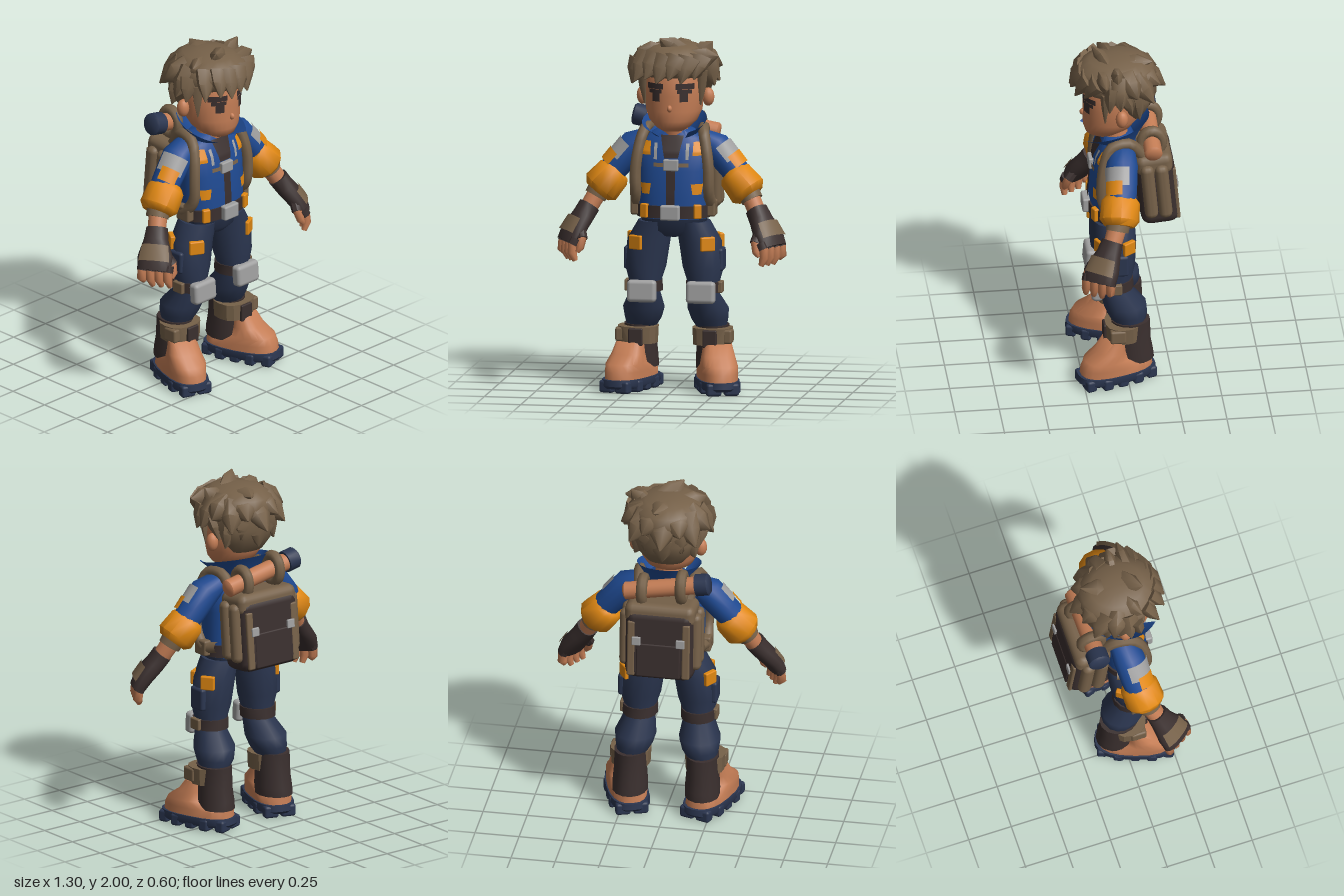
import * as THREE from 'three';
import { toCreasedNormals, mergeVertices } from 'three/addons/utils/BufferGeometryUtils.js';
import { RoundedBoxGeometry } from 'three/addons/geometries/RoundedBoxGeometry.js';
import { ParametricGeometry } from 'three/addons/geometries/ParametricGeometry.js';

const mat = (name, color, side = THREE.FrontSide) => Object.assign(new THREE.MeshStandardMaterial({ color, side }), { name });
const M = {
  skin: mat('tan skin and leather', 0xc47d55), brown: mat('brown', 0x766149),
  blue: mat('jacket blue', 0x1f4a92, THREE.DoubleSide), navy: mat('navy', 0x2b3650),
  orange: mat('orange', 0xe08812), dark: mat('charcoal', 0x3a2f2e), silver: mat('silver', 0xa0a0a0),
};
const V = (x, y, z) => new THREE.Vector3(x, y, z);
const TAU = Math.PI * 2;

function add(group, name, geo, m) {
  const mesh = new THREE.Mesh(geo, m);
  mesh.name = name;
  group.add(mesh);
  return mesh;
}

// Skin elliptical sections [x, y, z, a, b]; level keeps them horizontal, arc leaves an open strip, ref turns the b axis.
function sweep(st, { seg = 14, level = false, p = 1, arc = null, crease = 0.75, ref = null } = {}) {
  const c = st.map(s => V(s[0], s[1], s[2])), pos = [], idx = [], n = st.length;
  const whole = c[n - 1].clone().sub(c[0]).normalize();
  const side = ref || (!level && Math.abs(whole.z) > 0.8 ? V(0, 1, 0) : V(0, 0, 1));
  const cols = arc ? seg + 1 : seg, [a0, a1] = arc || [0, TAU];
  const pw = v => Math.sign(v) * Math.abs(v) ** p;
  st.forEach((s, i) => {
    const d = level ? V(0, Math.sign(whole.y), 0) : c[Math.min(i + 1, n - 1)].clone().sub(c[Math.max(i - 1, 0)]).normalize();
    const w = side.clone().addScaledVector(d, -side.dot(d)).normalize(), u = d.clone().cross(w);
    for (let j = 0; j < cols; j++) {
      const t = a0 + (a1 - a0) * j / seg;
      pos.push(...c[i].clone().addScaledVector(u, s[3] * pw(Math.cos(t))).addScaledVector(w, s[4] * pw(Math.sin(t))).toArray());
    }
  });
  for (let i = 0; i < n - 1; i++) for (let j = 0; j < seg; j++) {
    const A = i * cols + j, B = i * cols + (j + 1) % cols;
    idx.push(A, A + cols, B, B, A + cols, B + cols);
  }
  if (!arc) {
    const k = n * cols, top = (n - 1) * cols;
    pos.push(...c[0].toArray(), ...c[n - 1].toArray());
    for (let j = 0; j < seg; j++) idx.push(k, j, (j + 1) % seg, k + 1, top + (j + 1) % seg, top + j);
  }
  const g = new THREE.BufferGeometry();
  g.setAttribute('position', new THREE.Float32BufferAttribute(pos, 3));
  g.setIndex(idx);
  g.computeVertexNormals();
  return toCreasedNormals(g, crease);
}
// Level loft from rows [y, z, rx, rz] about one x
const loft = (rows, x = 0, o = {}) => sweep(rows.map(([y, z, a, b]) => [x, y, z, a, b]), { level: true, ...o });

function box(w, h, d, x, y, z, rx = 0, ry = 0, rz = 0, r = 0.25) {
  const g = new RoundedBoxGeometry(w, h, d, 2, Math.min(w, h, d) * r);
  return g.applyMatrix4(new THREE.Matrix4().makeRotationFromEuler(new THREE.Euler(rx, ry, rz)).setPosition(x, y, z));
}
const ball = (x, y, z, a, b, c) => new THREE.SphereGeometry(1, 14, 10).scale(a, b, c).translate(x, y, z);
const tube = (pts, r) => new THREE.TubeGeometry(new THREE.CatmullRomCurve3(pts.map(q => V(...q))), 24, r, 8);

// Thin plate following the front of a loft; taper narrows its lower edge
function patch(rows, p, x, y, w, h, taper = 1) {
  return new ParametricGeometry((u, v, out) => {
    const X = x + (u - 0.5) * w * (taper + (1 - taper) * v), Y = y + (v - 0.5) * h;
    let i = 0;
    while (i < rows.length - 2 && rows[i + 1][0] < Y) i++;
    const t = (Y - rows[i][0]) / (rows[i + 1][0] - rows[i][0]);
    const [, z, a, b] = rows[i].map((q, k) => q + (rows[i + 1][k] - q) * t);
    out.set(X, Y, z + 0.007 + b * Math.max(0, 1 - Math.abs(X / a) ** (2 / p)) ** (p / 2));
  }, 6, 6);
}

function mirrored(group, name) {
  const out = new THREE.Group();
  out.name = name;
  group.traverse(o => {
    if (!o.isMesh) return;
    const g = mergeVertices(o.geometry.clone()).applyMatrix4(new THREE.Matrix4().makeScale(-1, 1, 1));
    g.setIndex(Array.from(g.index.array).reverse());
    add(out, o.name, g, o.material);
  });
  return out;
}

function makeHead() {
  const g = new THREE.Group();
  g.name = 'head';
  const rows = [[1.475, 0.12, 0.06, 0.06], [1.495, 0.11, 0.095, 0.1], [1.535, 0.085, 0.135, 0.138], [1.59, 0.065, 0.158, 0.16],
    [1.68, 0.06, 0.165, 0.165], [1.78, 0.06, 0.165, 0.165], [1.88, 0.05, 0.13, 0.13]];
  add(g, 'face', loft(rows, 0, { seg: 28, crease: 1.2 }), M.skin);
  add(g, 'nose', ball(0, 1.61, 0.222, 0.015, 0.02, 0.02), M.skin);
  add(g, 'neck', loft([[1.36, 0.03, 0.08, 0.08], [1.52, 0.06, 0.075, 0.08]]), M.skin);
  for (const s of [-1, 1]) {
    add(g, 'ear', ball(s * 0.185, 1.655, 0.025, 0.035, 0.052, 0.035), M.skin);
    add(g, 'eyebrow', patch(rows, 1, s * 0.084, 1.735, 0.095, 0.032), M.dark);
    add(g, 'upperLid', patch(rows, 1, s * 0.082, 1.706, 0.075, 0.022), M.dark);
    add(g, 'eye', patch(rows, 1, s * 0.078, 1.676, 0.044, 0.055), M.dark);
  }
  // Hair mass, then broad tapered locks
  add(g, 'hair', loft([[1.6, -0.06, 0.1, 0.05], [1.66, -0.055, 0.155, 0.09], [1.74, -0.045, 0.188, 0.14], [1.79, 0.035, 0.2, 0.215],
    [1.86, 0.045, 0.215, 0.235], [1.91, 0.04, 0.19, 0.21], [1.945, 0.035, 0.13, 0.155], [1.96, 0.03, 0.05, 0.06]], 0, { seg: 18, crease: 1.2 }), M.brown);
  const lock = (b, t, r, flat = 0.6) => {
    const m = b.map((q, i) => q * 0.45 + t[i] * 0.55 + (i === 1 ? 0.012 : 0));
    add(g, 'hairLock', sweep([[...b, r, r * flat], [...m, r * 0.7, r * flat * 0.75], [...t, 0.004, 0.004]], { seg: 7, crease: 1 }), M.brown);
  };
  for (let i = 0; i < 9; i++) { // sides and back
    const a = Math.PI * (0.97 + 1.06 * i / 8), k = i % 2;
    lock([Math.cos(a) * 0.14, 1.86, 0.03 + Math.sin(a) * 0.12],
      [Math.cos(a) * (0.255 + k * 0.01), 1.75 + k * 0.07, 0.015 + Math.sin(a) * (0.255 - k * 0.02)], 0.095, 0.8);
  }
  for (let i = 0; i < 5; i++) { // nape
    const a = Math.PI * (1.1 + 0.8 * i / 4), k = i % 2;
    lock([Math.cos(a) * 0.12, 1.77, Math.sin(a) * 0.11 - 0.03], [Math.cos(a) * 0.18, 1.64 + k * 0.05, Math.sin(a) * 0.12 - 0.04], 0.085);
  }
  for (let i = 0; i < 6; i++) { // fringe swept to one side
    const x = -0.16 + i * 0.062, z = 0.06 + Math.sqrt(0.042 - x * x);
    lock([x * 0.9 + 0.02, 1.89, z - 0.045], [x * 1.1 - 0.025, 1.76 + 0.02 * (i % 2), z + 0.03], 0.08);
  }
  for (const s of [-1, 1]) {
    lock([s * 0.16, 1.82, 0.12], [s * 0.158, 1.62, 0.115], 0.045);
    lock([s * 0.18, 1.85, 0.08], [s * 0.235, 1.73, 0.1], 0.08);
    lock([s * 0.165, 1.8, 0.02], [s * 0.18, 1.68, -0.035], 0.075);
  }
  // Tufts on top
  lock([0.03, 1.89, 0.08], [-0.065, 1.995, 0.165], 0.08);
  lock([0.13, 1.87, 0.05], [0.215, 1.97, 0.05], 0.07);
  lock([0.13, 1.87, 0.13], [0.26, 1.9, 0.12], 0.075);
  lock([-0.1, 1.88, 0.06], [-0.2, 1.93, 0.12], 0.08);
  lock([0.0, 1.89, 0.02], [0.05, 1.94, -0.16], 0.09);
  return g;
}

function makeTorso() {
  const g = new THREE.Group();
  g.name = 'torso';
  const rows = [[0.98, 0.06, 0.195, 0.13], [1.1, 0.06, 0.2, 0.13], [1.25, 0.05, 0.205, 0.13], [1.36, 0.04, 0.21, 0.12], [1.43, 0.03, 0.17, 0.1], [1.475, 0.03, 0.1, 0.08]];
  add(g, 'jacket', loft(rows, 0, { p: 0.8, seg: 32, crease: 1 }), M.blue);
  add(g, 'collar', new ParametricGeometry((u, v, out) => {
    const a = (u - 0.5) * 5, c = -Math.cos(a), k = v ** 1.2;
    out.set(Math.sin(a) * (0.115 + 0.065 * k), 1.425 + v * (0.1 - 0.055 * c), 0.03 + 0.03 * v + c * (0.1 + 0.11 * k));
  }, 24, 5), M.blue);
  add(g, 'shirt', patch(rows, 0.8, 0, 1.385, 0.13, 0.125, 0.6), M.dark);
  add(g, 'placket', patch(rows, 0.8, 0, 1.165, 0.05, 0.21), M.dark);
  add(g, 'chestStrap', patch(rows, 0.8, 0, 1.285, 0.2, 0.022), M.brown);
  add(g, 'chestBuckle', box(0.085, 0.065, 0.03, 0, 1.285, 0.18), M.silver);
  add(g, 'belt', loft([[0.985, 0.06, 0.208, 0.14], [1.055, 0.06, 0.208, 0.14]], 0, { p: 0.8, seg: 28 }), M.dark);
  add(g, 'beltBuckle', box(0.11, 0.085, 0.045, 0, 1.02, 0.208), M.silver);
  for (const s of [-1, 1]) {
    add(g, 'chestPatch', patch(rows, 0.8, s * 0.15, 1.375, 0.06, 0.075), M.orange);
    add(g, 'silverTab', patch(rows, 0.8, s * 0.09, 1.36, 0.018, 0.09), M.silver);
    add(g, 'bellyPatch', patch(rows, 0.8, s * 0.145, 1.15, 0.065, 0.06, 0.7), M.orange);
    add(g, 'beltTab', box(0.045, 0.08, 0.03, s * 0.15, 1.025, 0.172, 0, s * 0.4), M.orange);
    add(g, 'beltPouch', box(0.05, 0.09, 0.1, s * 0.215, 1.035, 0.07), M.brown);
    add(g, 'shoulderStrap', tube([[0.14, 1.38, -0.1], [0.155, 1.475, -0.02], [0.17, 1.46, 0.08], [0.19, 1.38, 0.12], [0.207, 1.25, 0.14],
      [0.207, 1.12, 0.13], [0.212, 1.04, 0.06], [0.19, 1.05, -0.03]].map(q => [q[0] * s, q[1], q[2]]), 0.032), M.brown);
  }
  return g;
}

function makeArm() {
  const g = new THREE.Group(), pi = Math.PI;
  g.name = 'leftArm';
  add(g, 'sleeve', sweep([[0.15, 1.42, 0.02, 0.055, 0.075], [0.23, 1.375, 0.03, 0.085, 0.09], [0.32, 1.27, 0.04, 0.08, 0.085], [0.38, 1.2, 0.05, 0.075, 0.08]], { crease: 1 }), M.blue);
  const strip = (name, m, a0, a1, lo, hi, off) => add(g, name, sweep([lo, hi].map(t => // sleeve patches
    [0.23 + 0.09 * t, 1.375 - 0.105 * t, 0.03 + 0.01 * t, 0.085 - 0.005 * t + off, 0.09 - 0.005 * t + off]), { arc: [a0, a1], seg: 6 }), m);
  strip('sleevePatch', M.silver, pi * 0.55, pi * 1.12, 0.1, 0.85, 0.008);
  strip('sleeveBadge', M.orange, pi * 0.62, pi * 0.98, 0.68, 1.25, 0.014);
  add(g, 'cuff', sweep([[0.325, 1.235, 0.045, 0.08, 0.085], [0.345, 1.215, 0.05, 0.1, 0.108], [0.415, 1.135, 0.065, 0.11, 0.112], [0.435, 1.11, 0.07, 0.08, 0.085]], { seg: 12, crease: 0.9 }), M.orange);
  add(g, 'innerCuff', sweep([[0.42, 1.13, 0.07, 0.065, 0.068], [0.445, 1.085, 0.082, 0.062, 0.065]]), M.brown);
  add(g, 'forearm', sweep([[0.42, 1.13, 0.07, 0.055, 0.055], [0.49, 1.0, 0.12, 0.048, 0.05]]), M.skin);
  // Hand turned so its back faces outward and forward
  const ref = V(-0.58, 0, 0.8);
  add(g, 'glove', sweep([[0.472, 1.038, 0.11, 0.058, 0.06], [0.505, 0.98, 0.135, 0.056, 0.07], [0.55, 0.91, 0.175, 0.054, 0.1], [0.583, 0.84, 0.195, 0.042, 0.095]], { p: 0.85, crease: 0.9, ref }), M.dark);
  add(g, 'handGuard', sweep([[0.522, 0.955, 0.152, 0.064, 0.09], [0.568, 0.88, 0.185, 0.058, 0.105]], { arc: [pi * 0.7, pi * 1.3], seg: 6, p: 0.85, ref }), M.brown);
  for (let i = 0; i < 4; i++) {
    const x = 0.622 - 0.026 * i, z = 0.13 + i * 0.042, drop = i === 0 ? 0.025 : 0;
    add(g, 'fingerSleeve', sweep([[x - 0.02, 0.87, z, 0.03, 0.028], [x - 0.003, 0.835, z + 0.008, 0.03, 0.028]], { seg: 8 }), M.dark);
    add(g, 'finger', sweep([[x - 0.005, 0.845, z + 0.006, 0.027, 0.026], [x, 0.79, z + 0.01, 0.027, 0.026], [x - 0.018, 0.745 + drop, z + 0.01, 0.015, 0.015]], { seg: 8, crease: 1.2 }), M.skin);
  }
  add(g, 'thumbSleeve', sweep([[0.51, 0.93, 0.2, 0.032, 0.032], [0.49, 0.865, 0.25, 0.032, 0.03]], { seg: 8 }), M.dark);
  add(g, 'thumb', sweep([[0.49, 0.875, 0.245, 0.026, 0.025], [0.5, 0.82, 0.265, 0.024, 0.023], [0.515, 0.795, 0.27, 0.012, 0.012]], { seg: 8, crease: 1.2 }), M.skin);
  return g;
}

function makeLeg() {
  const g = new THREE.Group();
  g.name = 'leftLeg';
  add(g, 'trouserLeg', sweep([[0.105, 0.96, 0.06, 0.098, 0.115], [0.145, 0.85, 0.055, 0.122, 0.115], [0.163, 0.7, 0.06, 0.117, 0.11], [0.165, 0.61, 0.065, 0.09, 0.095],
    [0.167, 0.55, 0.06, 0.088, 0.092], [0.182, 0.46, 0.01, 0.118, 0.122], [0.188, 0.4, -0.005, 0.105, 0.112], [0.2, 0.34, -0.015, 0.08, 0.085]], { level: true, crease: 1 }), M.navy);
  add(g, 'cargoPocket', box(0.04, 0.13, 0.11, 0.262, 0.745, 0.05, 0, 0, 0, 0.4), M.navy);
  add(g, 'thighPatch', box(0.085, 0.08, 0.03, 0.203, 0.84, 0.15, 0, 0.5), M.orange);
  add(g, 'hipPatch', box(0.03, 0.08, 0.08, 0.242, 0.845, -0.008, 0, 0.6), M.orange);
  add(g, 'kneeStrap', loft([[0.56, 0.06, 0.1, 0.104], [0.62, 0.064, 0.1, 0.104]], 0.166), M.dark);
  add(g, 'strapClip', box(0.03, 0.065, 0.075, 0.262, 0.59, 0.07), M.brown);
  add(g, 'kneePad', box(0.165, 0.125, 0.065, 0.167, 0.568, 0.165, -0.08, 0, 0, 0.35), M.silver);
  // Boot
  add(g, 'bootShaft', loft([[0.12, -0.035, 0.1, 0.118], [0.17, -0.03, 0.1, 0.118], [0.24, -0.025, 0.094, 0.11], [0.365, -0.02, 0.092, 0.11]], 0.205, { crease: 1 }), M.dark);
  add(g, 'ankleStrap', loft([[0.26, 0.025, 0.11, 0.098], [0.355, 0.025, 0.115, 0.1]], 0.21, { p: 0.8, crease: 0.5 }), M.brown);
  add(g, 'ankleBuckle', box(0.08, 0.1, 0.03, 0.21, 0.3, 0.12), M.dark);
  add(g, 'ankleClip', box(0.05, 0.08, 0.09, 0.305, 0.31, 0.06), M.brown);
  const foot = [];
  foot.push(['bootUpper', loft([[0.06, 0, 0.108, 0.215], [0.115, 0, 0.108, 0.208], [0.155, 0.06, 0.104, 0.125], [0.205, 0.035, 0.094, 0.078], [0.27, 0.015, 0.08, 0.05]], 0, { p: 0.8, seg: 20, crease: 1 }), M.skin]);
  foot.push(['sole', loft([[0.025, 0, 0.108, 0.22], [0.04, 0, 0.118, 0.232], [0.075, 0, 0.115, 0.228]], 0, { p: 0.75, seg: 24 }), M.navy]);
  for (const s of [-1, 1]) for (let i = 0; i < 5; i++)
    foot.push(['soleLug', box(0.085, 0.07, 0.06, s * (i % 4 ? 0.073 : 0.05), 0.036, -0.185 + i * 0.0925), M.navy]);
  const pose = new THREE.Matrix4().makeRotationY(0.33).setPosition(0.243, 0, 0.065);
  for (const [n, geo, m] of foot) add(g, n, geo.applyMatrix4(pose), m);
  return g;
}

function makePack() {
  const g = new THREE.Group();
  g.name = 'backpack';
  const t = 0.09, at = (w, h, d, x, y, z, r) => box(w, h, d, x, 1.16 + y, -0.175 + z + y * t, t, 0, 0, r);
  add(g, 'packBody', at(0.39, 0.42, 0.215, 0, 0, -0.005), M.dark);
  add(g, 'packFlap', at(0.4, 0.13, 0.21, 0, 0.175, 0, 0.35), M.brown);
  add(g, 'flapPanel', at(0.24, 0.035, 0.01, 0, 0.14, -0.105), M.dark);
  add(g, 'flapEdge', at(0.34, 0.06, 0.035, 0, 0.075, -0.095), M.brown);
  add(g, 'frontPocket', at(0.25, 0.2, 0.035, 0, -0.08, -0.1), M.dark);
  for (const s of [-1, 1]) {
    add(g, 'backStrap', at(0.045, 0.33, 0.025, s * 0.155, -0.015, -0.104, 0.4), M.brown);
    add(g, 'packBuckle', at(0.05, 0.05, 0.02, s * 0.125, 0.035, -0.115), M.silver);
    for (const z of [-0.035, 0.045]) add(g, 'sidePocket', at(0.075, 0.34, 0.075, s * 0.195, 0.02, z, 0.45), M.brown);
    add(g, 'rollLoop', new THREE.TorusGeometry(0.062, 0.026, 8, 18).rotateY(Math.PI / 2).scale(1.2, 1.2, 1).translate(s * 0.11, 1.467 - s * 0.02, -0.15), M.brown);
  }
  // Bedroll lying across the top, lower on one end
  add(g, 'bedroll', sweep([[-0.24, 1.515, -0.15, 0.05, 0.05], [0.21, 1.432, -0.15, 0.05, 0.05], [0.22, 1.43, -0.15, 0.038, 0.038]], { seg: 16 }), M.skin);
  add(g, 'bedrollEnd', sweep([[-0.268, 1.521, -0.15, 0.05, 0.05], [-0.258, 1.519, -0.15, 0.062, 0.062], [-0.19, 1.506, -0.15, 0.062, 0.062]], { seg: 16 }), M.navy);
  return g;
}

export function createModel() {
  const model = new THREE.Group();
  model.name = 'adventurer';
  const arm = makeArm(), leg = makeLeg();
  const hips = new THREE.Group();
  hips.name = 'hips';
  add(hips, 'trouserSeat', loft([[0.875, 0.055, 0.06, 0.085], [0.91, 0.055, 0.17, 0.112], [1.0, 0.06, 0.195, 0.125]], 0, { seg: 20, p: 0.85, crease: 1 }), M.navy);
  model.add(makeHead(), makeTorso(), hips, arm, mirrored(arm, 'rightArm'), leg, mirrored(leg, 'rightLeg'), makePack());
  return model;
}
